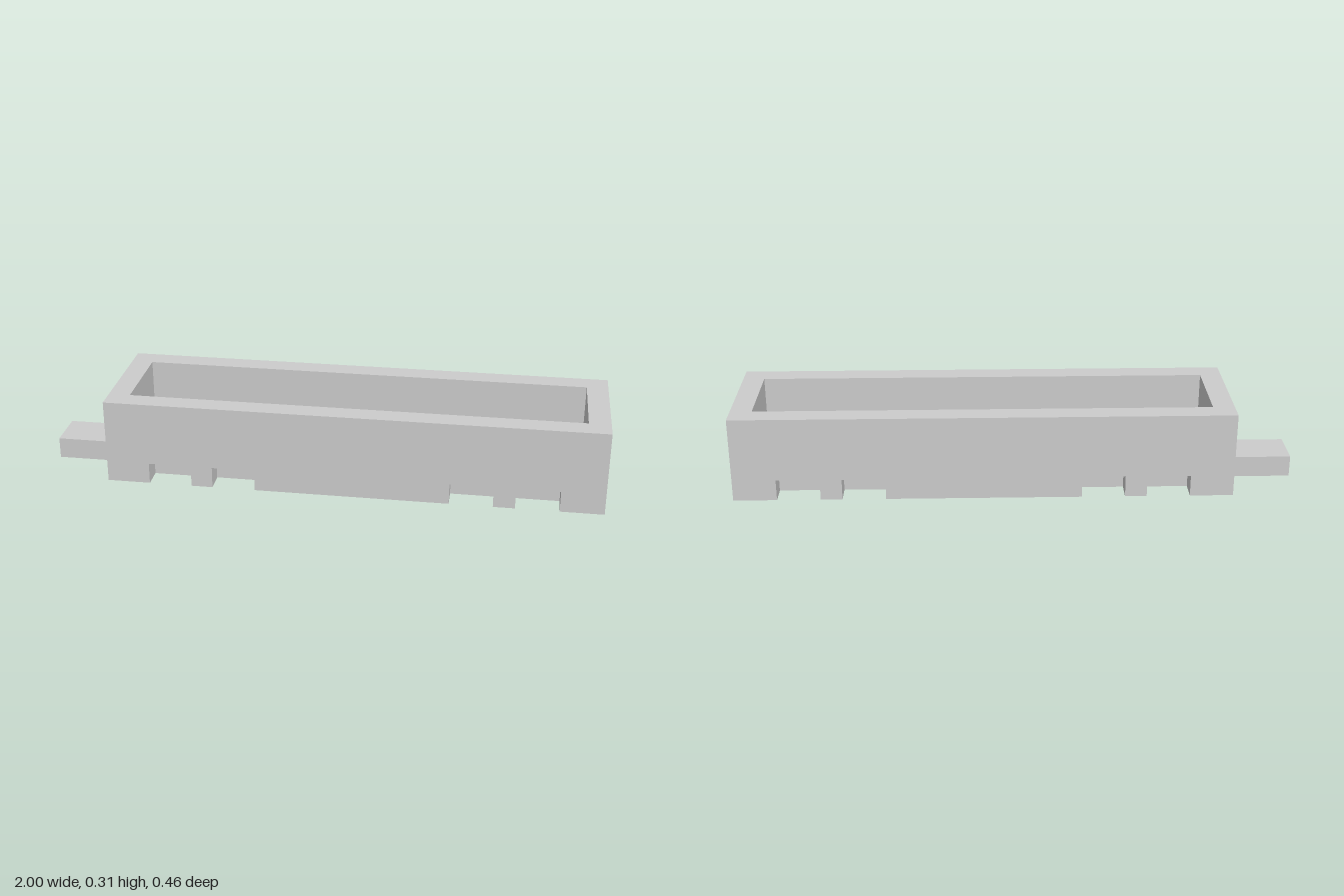
import * as THREE from 'three';

const U = 1 / 13; // module unit: the model is 26 units long
const LEFT = -10, RIGHT = 13, HALF = 3; // body extents in units

const material = new THREE.MeshStandardMaterial({ color: 0xcccccc, flatShading: true });

const rectangle = (x0, x1, z) => [[x0, -z], [x1, -z], [x1, z], [x0, z]];
const toPoints = (pts) => pts.map(([x, z]) => new THREE.Vector2(x * U, z * U));

// Extrudes a plan outline upward from y0 to y1 (all in units)
function slab(name, outline, y0, y1, hole) {
  const shape = new THREE.Shape(toPoints(outline));
  if (hole) shape.holes.push(new THREE.Path(toPoints(hole)));
  const geometry = new THREE.ExtrudeGeometry(shape, { depth: (y1 - y0) * U, bevelEnabled: false });
  geometry.rotateX(-Math.PI / 2);
  geometry.translate(0, y0 * U, 0);
  const mesh = new THREE.Mesh(geometry, material);
  mesh.name = name;
  return mesh;
}

// Base outline: body with four notches along each side and a tongue at one end
function baseOutline() {
  const side = [[LEFT, -HALF]];
  for (const x of [-8, -5, 6, 9]) {
    side.push([x, -HALF], [x, -HALF + 1], [x + 2, -HALF + 1], [x + 2, -HALF]);
  }
  side.push([RIGHT, -HALF]);
  const otherSide = side.map(([x, z]) => [x, -z]).reverse();
  const tongue = [[LEFT, 1], [-13, 1], [-13, -1], [LEFT, -1]];
  return [...side, ...otherSide, ...tongue];
}

export function createModel() {
  const group = new THREE.Group();
  group.name = 'openTray';
  const body = rectangle(LEFT, RIGHT, HALF);
  const cavity = rectangle(LEFT + 1, RIGHT - 1, HALF - 1);
  group.add(
    slab('notchedBaseWithTongue', baseOutline(), 0, 1),
    slab('trayFloor', body, 1, 2),
    slab('trayWalls', body, 2, 4, cavity),
  );
  return group;
}
